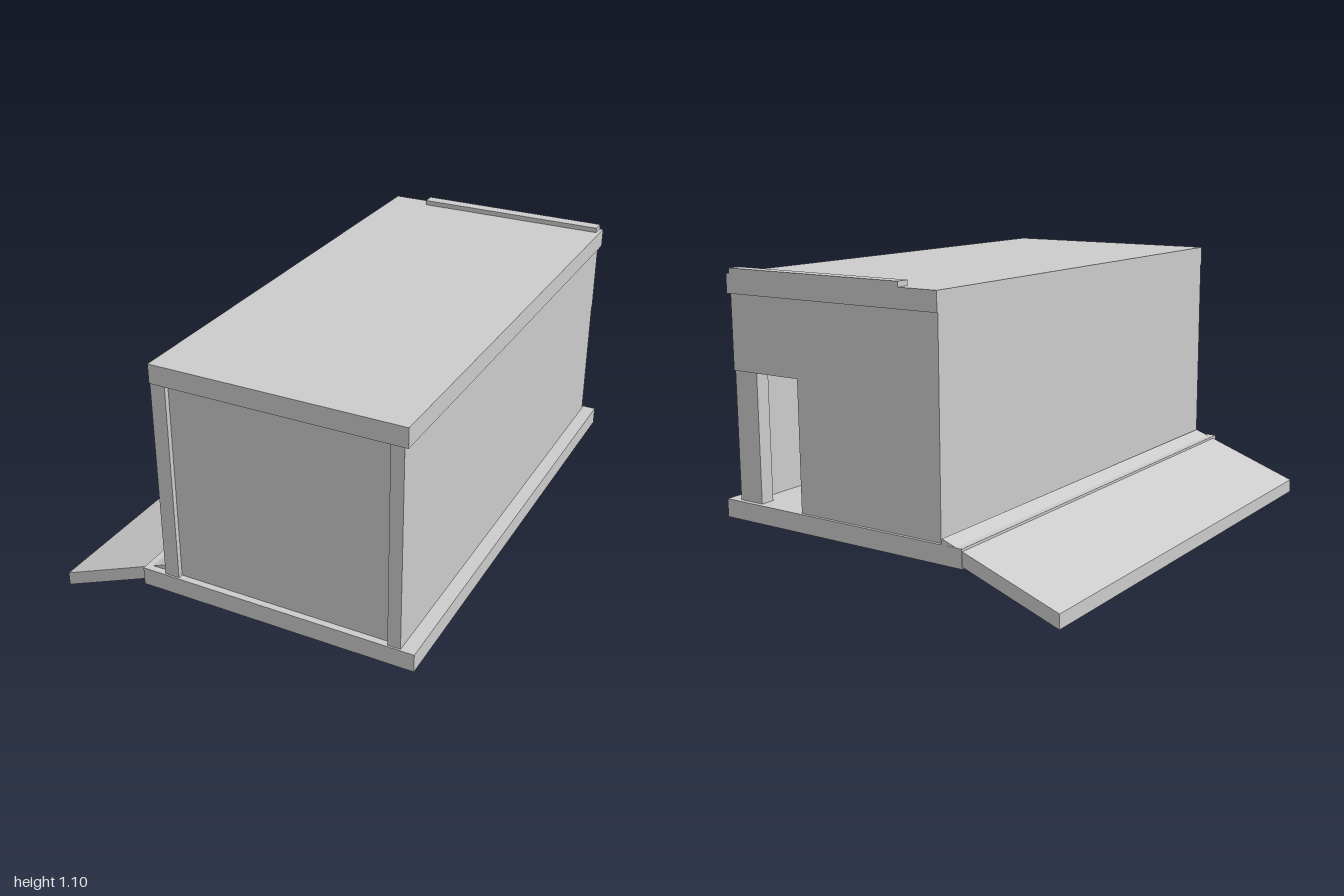
import * as THREE from 'three';

const material = new THREE.MeshStandardMaterial({ color: 0xcccccc, flatShading: true });

// Box given by its limits on each axis
function slab(name, x0, x1, y0, y1, z0, z1) {
  const mesh = new THREE.Mesh(new THREE.BoxGeometry(x1 - x0, y1 - y0, z1 - z0), material);
  mesh.position.set((x0 + x1) / 2, (y0 + y1) / 2, (z0 + z1) / 2);
  mesh.name = name;
  return mesh;
}

// Outline in x and y, extruded from z0 to z1
function extruded(name, points, z0, z1) {
  const shape = new THREE.Shape(points.map(([x, y]) => new THREE.Vector2(x, y)));
  const geometry = new THREE.ExtrudeGeometry(shape, { depth: z1 - z0, bevelEnabled: false });
  geometry.translate(0, 0, z0);
  const mesh = new THREE.Mesh(geometry, material);
  mesh.name = name;
  return mesh;
}

export function createModel() {
  const model = new THREE.Group();
  model.name = 'building';
  const floor = 0.21, eave = 1.005, top = 1.08;
  const left = 0.69, right = -0.275, front = 0.99, back = -0.985;

  // Foundation and flat roof, which overhangs the left wall
  model.add(slab('foundation', -0.37, 0.745, 0.138, floor, -0.997, 0.997));
  model.add(slab('roof', right, 0.705, eave, top, -0.99, 0.995));
  model.add(slab('roofCurb', -0.11, left, top, 1.1, -0.99, -0.937));

  // Long side walls, whose ends frame the front
  model.add(slab('leftWall', 0.64, left, floor, eave, -0.975, front));
  model.add(slab('rightWall', right, -0.215, floor, eave, -0.925, front));

  // Front panel set back between the side walls
  model.add(slab('frontPanel', -0.215, 0.64, floor, eave, 0.93, 0.97));

  // Back wall with a doorway, and a slightly recessed post at the corner
  const doorTop = 0.715, doorLeft = 0.58, doorRight = 0.37;
  model.add(extruded('backWall', [
    [right, floor], [doorRight, floor], [doorRight, doorTop],
    [left, doorTop], [left, eave], [right, eave],
  ], back, -0.925));
  model.add(slab('doorPost', doorLeft, left, floor, doorTop, -0.978, -0.92));

  // Loading ramp, skewed slightly towards the back at its upper end
  const ramp = extruded('ramp', [
    [-0.75, 0], [-0.275, 0.182], [-0.287, 0.232], [-0.75, 0.055],
  ], -0.98, 0.985);
  const position = ramp.geometry.attributes.position;
  for (let i = 0; i < position.count; i++) {
    position.setZ(i, position.getZ(i) - 0.036 * (position.getX(i) + 0.75));
  }
  ramp.geometry.computeVertexNormals();
  model.add(ramp);

  return model;
}
